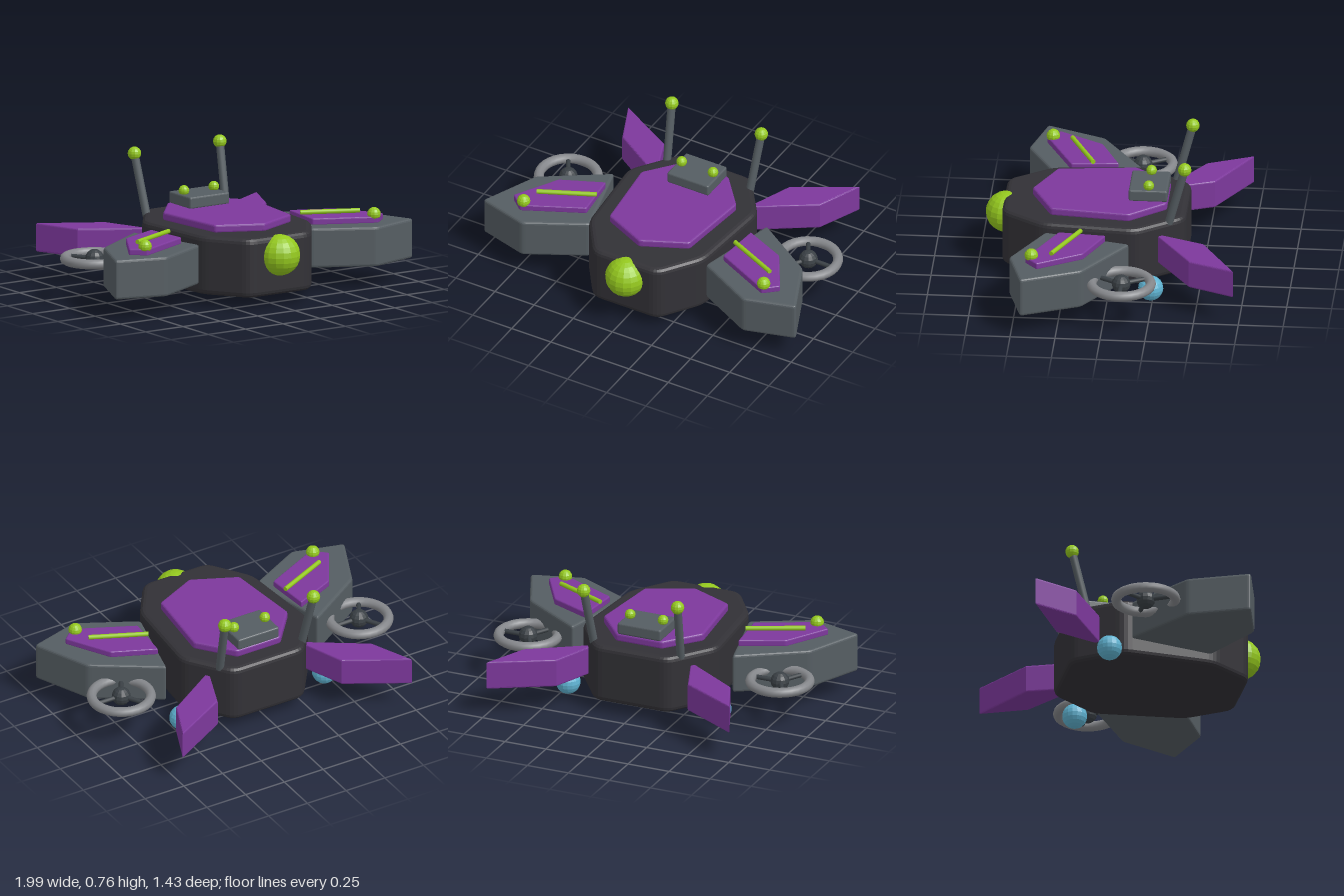
import * as THREE from 'three';

const mat = (name, color) => {
  const m = new THREE.MeshStandardMaterial({ color });
  m.name = name;
  return m;
};

export function createModel() {
  const hull = mat('charcoal', 0x323136);
  const slate = mat('slate grey', 0x555d62);
  const purple = mat('purple', 0x7d389c);
  const green = mat('lime green', 0x94c81e);
  const blue = mat('sky blue', 0x5fb3d2);
  const steel = mat('light steel', 0x85878b);
  const iron = mat('dark iron', 0x3a4045);

  const model = new THREE.Group();
  model.name = 'hoverDrone';

  const add = (name, geometry, material, parent = model) => {
    const mesh = new THREE.Mesh(geometry, material);
    mesh.name = name;
    parent.add(mesh);
    return mesh;
  };

  // Horizontal plate with an [x, z] outline, bevelled rims and optionally rounded corners
  const slab = (name, points, y0, y1, bevel, round, material, side = 1) => {
    const pts = points.map(([x, z]) => new THREE.Vector2(x * side, z));
    const shape = new THREE.Shape();
    pts.forEach((p, i) => {
      const prev = pts[(i + pts.length - 1) % pts.length];
      const next = pts[(i + 1) % pts.length];
      const a = p.clone().add(prev.clone().sub(p).setLength(round));
      const b = p.clone().add(next.clone().sub(p).setLength(round));
      if (i === 0) shape.moveTo(a.x, a.y);
      else shape.lineTo(a.x, a.y);
      if (round > 0) shape.quadraticCurveTo(p.x, p.y, b.x, b.y);
    });
    shape.closePath();
    const g = new THREE.ExtrudeGeometry(shape, {
      depth: y1 - y0 - 2 * bevel, bevelSize: bevel, bevelThickness: bevel,
      bevelOffset: -bevel, bevelSegments: 3, curveSegments: 4,
    });
    g.rotateX(Math.PI / 2).translate(0, y1 - bevel, 0);
    return add(name, g, material);
  };

  // Faceted ball
  const ball = (name, r, x, y, z, material, w = 12, h = 8, parent = model) => {
    const g = new THREE.SphereGeometry(r, w, h).toNonIndexed();
    g.computeVertexNormals();
    const m = add(name, g, material, parent);
    m.position.set(x, y, z);
    return m;
  };

  // Round bar between two points
  const rod = (name, from, to, r, material, parent = model) => {
    const a = new THREE.Vector3(...from), b = new THREE.Vector3(...to);
    const dir = b.clone().sub(a);
    const m = add(name, new THREE.CylinderGeometry(r, r, dir.length(), 12), material, parent);
    m.position.copy(a).add(b).multiplyScalar(0.5);
    m.quaternion.setFromUnitVectors(new THREE.Vector3(0, 1, 0), dir.normalize());
    return m;
  };

  // Full outline from its +x half
  const symmetric = (half) => [
    ...half,
    ...half.filter(([x]) => x > 0).reverse().map(([x, z]) => [-x, z]),
  ];

  // Central hull, top panel, rear box and nose
  slab('body', symmetric([[0.225, -0.415], [0.415, -0.15], [0.37, 0.37], [0.205, 0.61]]),
    0.065, 0.4, 0.03, 0.05, hull);
  slab('topPanel', symmetric([[0.14, -0.305], [0.305, -0.105], [0.257, 0.335], [0, 0.455]]),
    0.395, 0.443, 0.012, 0.015, purple);
  slab('sensorBox', symmetric([[0.132, -0.305], [0.132, -0.09]]), 0.44, 0.507, 0.01, 0.012, slate);
  ball('nose', 0.115, 0, 0.29, 0.6, green, 16, 12);

  for (const side of [1, -1]) {
    const label = side > 0 ? 'left' : 'right';

    // Sensor light and antenna
    ball(label + 'SensorLight', 0.03, 0.1 * side, 0.525, -0.2, green);
    rod(label + 'Antenna', [0.265 * side, 0.38, -0.325], [0.286 * side, 0.72, -0.415], 0.023, slate);
    ball(label + 'AntennaTip', 0.038, 0.286 * side, 0.72, -0.415, green);

    // Front wing with its panel, stripe bar and lamp
    slab(label + 'Wing', [[0.487, -0.125], [0.855, 0.115], [1.0, 0.447], [0.705, 0.53], [0.37, 0.355]],
      0.125, 0.35, 0.015, 0.02, slate, side);
    slab(label + 'WingPanel', [[0.462, 0.01], [0.705, 0.118], [0.852, 0.365], [0.772, 0.435], [0.437, 0.275]],
      0.345, 0.385, 0.008, 0.01, purple, side);
    rod(label + 'WingBar', [0.442 * side, 0.398, 0.152], [0.745 * side, 0.398, 0.292], 0.013, green);
    ball(label + 'WingLamp', 0.038, 0.767 * side, 0.395, 0.4, green);

    // Swept tail fin
    slab(label + 'TailFin', [[0.29, -0.245], [0.4, -0.53], [0.74, -0.72], [0.632, -0.465]],
      0.163, 0.325, 0.01, 0, purple, side);

    // Underside thruster
    ball(label + 'Thruster', 0.07, 0.46 * side, 0.07, -0.24, blue, 16, 10);

    // Ring rotor with hub and three spokes
    const rotor = new THREE.Group();
    rotor.name = label + 'Rotor';
    rotor.position.set(0.767 * side, 0.238, -0.1);
    model.add(rotor);
    add('rotorRing', new THREE.TorusGeometry(0.165, 0.028, 10, 32).rotateX(Math.PI / 2), steel, rotor);
    ball('rotorHub', 0.053, 0, 0, 0, iron, 12, 8, rotor);
    for (let i = 0; i < 3; i++) {
      const t = (i * Math.PI * 2) / 3;
      rod('rotorSpoke', [0, 0, 0], [0.16 * Math.cos(t), 0, 0.16 * Math.sin(t)], 0.013, iron, rotor);
    }
  }
  return model;
}
